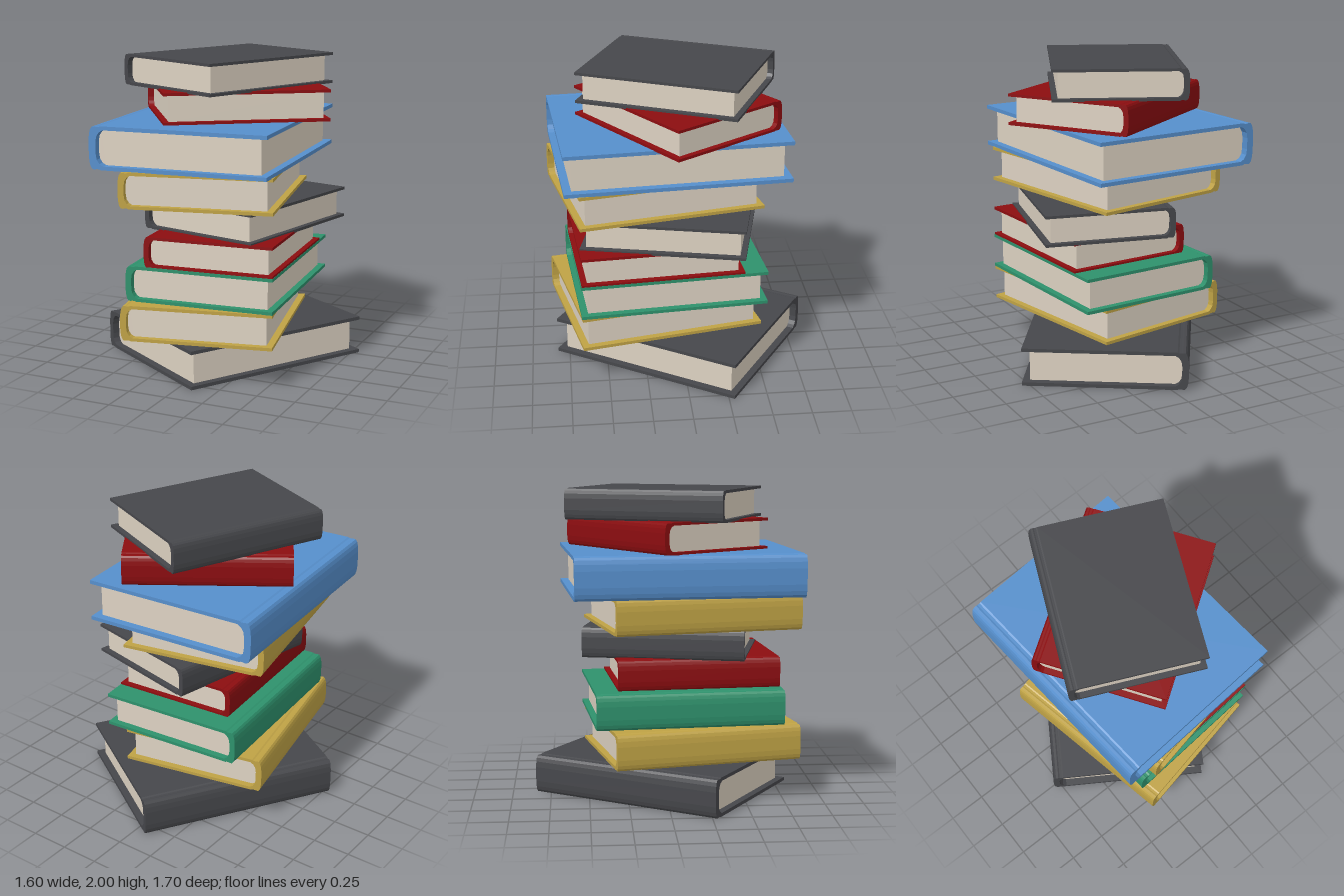
import * as THREE from 'three';

// Profiles of a book of unit length, seen along the spine (spine at -x, height 0.19)
const H = 0.19;
const mirrorUp = (pts) => pts.concat(pts.map(([x, y]) => [x, H - y]).reverse());

// Lower half of the case: board, hinge groove, rounded spine
const outerHalf = [
  [0.4, 0], [-0.345, 0], [-0.353, 0.004], [-0.365, 0.004], [-0.372, 0.002],
  [-0.384, 0.003], [-0.392, 0.014], [-0.397, 0.032], [-0.4, 0.06],
];
// Lower half of the hollow inside the case
const innerHalf = [[0.4, 0.017], [-0.335, 0.017], [-0.352, 0.027], [-0.364, 0.045], [-0.368, 0.07]];
const caseProfile = mirrorUp(outerHalf).concat(mirrorUp(innerHalf).reverse());

// Page block, sunk slightly into the case so no gap shows
const pageProfile = mirrorUp([[0.365, 0.016], [-0.336, 0.016], [-0.353, 0.026], [-0.365, 0.045], [-0.369, 0.07]]);

function extrude(points, length) {
  const shape = new THREE.Shape(points.map(([x, y]) => new THREE.Vector2(x, y)));
  const geo = new THREE.ExtrudeGeometry(shape, { depth: length, bevelEnabled: false });
  return geo.translate(0, 0, -length / 2);
}

const colors = { grey: 0x46474b, red: 0x8c0d10, blue: 0x568fcc, yellow: 0xbfa245, green: 0x2e916c };

// color, length, bottom y, centre x, centre z, turn in degrees (towards +z)
const books = [
  ['grey', 1.318, 0, 0, -0.01, 32.3],
  ['yellow', 1.207, 0.265, -0.035, 0.167, -11.7],
  ['green', 1.207, 0.494, 0.027, 0.107, -5.1],
  ['red', 1.05, 0.718, 0.095, 0.175, -5],
  ['grey', 1.05, 0.909, 0.125, 0.0625, 12.6],
  ['yellow', 1.207, 1.109, -0.035, 0.167, -11.7],
  ['blue', 1.435, 1.337, -0.075, 0.084, -4.8],
  ['red', 1.05, 1.608, 0.028, 0.015, 55.6],
  ['grey', 1.05, 1.8005, -0.025, 0.007, 24],
];

export function createModel() {
  const model = new THREE.Group();
  model.name = 'bookStack';
  const caseGeo = extrude(caseProfile, 1);
  const pageGeo = extrude(pageProfile, 0.93);
  const pageMat = new THREE.MeshStandardMaterial({ color: 0xddd2c2 });
  const coverMats = {};
  for (const key in colors) coverMats[key] = new THREE.MeshStandardMaterial({ color: colors[key] });

  books.forEach(([color, size, y, x, z, turn], i) => {
    const book = new THREE.Group();
    book.name = `${color}Book${i + 1}`;
    const cover = new THREE.Mesh(caseGeo, coverMats[color]);
    cover.name = 'cover';
    const pages = new THREE.Mesh(pageGeo, pageMat);
    pages.name = 'pages';
    book.add(cover, pages);
    book.scale.setScalar(size);
    book.position.set(x, y, z);
    book.rotation.y = -THREE.MathUtils.degToRad(turn);
    model.add(book);
  });
  return model;
}
